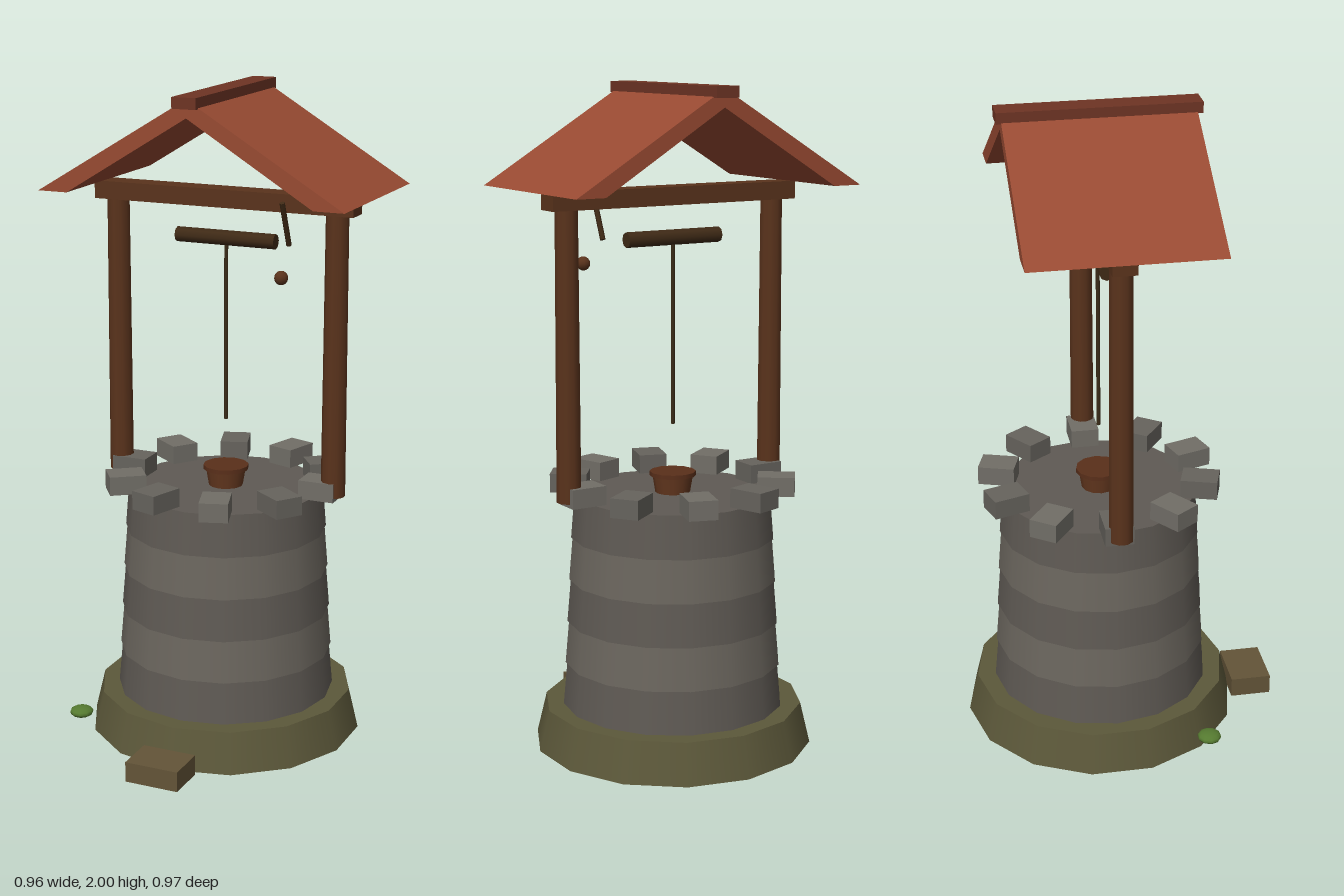
import * as THREE from 'three';

const CZ = -0.06; // axis of the well

export function createModel() {
  const model = new THREE.Group();
  const mats = {};
  const mat = (color) => (mats[color] ??= new THREE.MeshStandardMaterial({ color }));

  function add(name, geometry, color, x, y, z) {
    const mesh = new THREE.Mesh(geometry, mat(color));
    mesh.name = name;
    mesh.position.set(x, y, z);
    model.add(mesh);
    return mesh;
  }
  const cyl = (top, bottom, h, sides) => new THREE.CylinderGeometry(top, bottom, h, sides);
  const box = (w, h, d) => new THREE.BoxGeometry(w, h, d);

  const WOOD = 0x5a331c, DARK_WOOD = 0x3f2a16;

  // Mossy footing with a front step and a tuft of grass
  add('footing', cyl(0.395, 0.425, 0.125, 14), 0x5c583a, 0, 0.0625, CZ);
  add('step', box(0.17, 0.063, 0.127), 0x635438, 0, 0.0315, 0.4235);
  add('grassTuft', new THREE.SphereGeometry(0.037, 10, 8), 0x557a30, -0.37, 0.064, 0.222)
    .scale.y = 0.45;

  // Stone wall: stacked courses, each with a slight overhang
  const courseH = 0.131;
  for (let i = 0; i < 5; i++) {
    add('stoneCourse', cyl(0.326 - 0.0065 * i, 0.338 - 0.0068 * i, courseH, 16),
      i % 2 ? 0x6b665e : 0x5f5a54, 0, 0.125 + courseH * (i + 0.5), CZ);
  }

  // Rim stones radiating around the top
  for (let i = 0; i < 10; i++) {
    const a = THREE.MathUtils.degToRad(18 + 36 * i);
    const r = 0.313;
    add('rimStone', box(0.087, 0.058, 0.112), i % 2 ? 0x66635d : 0x716e67,
      r * Math.sin(a), 0.809, CZ + r * Math.cos(a)).rotation.y = a;
  }

  // Bucket with a wider lip
  add('bucket', cyl(0.062, 0.052, 0.06, 12), 0x65381f, 0, 0.805, CZ);
  add('bucketLip', cyl(0.07, 0.07, 0.013, 12), 0x5a2f1a, 0, 0.838, CZ);

  // Posts and cross beam
  for (const side of [-1, 1]) {
    add('post', cyl(0.034, 0.037, 0.86, 10), WOOD, side * 0.355, 1.222, -0.054);
  }
  add('crossBeam', box(0.834, 0.054, 0.072), WOOD, 0, 1.676, -0.054);

  // Windlass and rope
  add('windlass', cyl(0.023, 0.023, 0.32, 8), DARK_WOOD, 0, 1.552, CZ).rotation.z = Math.PI / 2;
  add('rope', cyl(0.006, 0.006, 0.55, 6), 0x3b2c18, 0, 1.265, CZ);

  // Crank arm and knob
  add('crankArm', cyl(0.008, 0.008, 0.145, 6), DARK_WOOD, 0.217, 1.62, 0.006)
    .rotation.x = 0.4;
  add('crankKnob', new THREE.SphereGeometry(0.021, 10, 8), WOOD, 0.231, 1.475, 0.071);

  // Gabled roof: an upturned V with level eaves
  const gable = new THREE.Shape([
    [-0.478, 1.705], [-0.385, 1.705], [0, 1.94], [0.385, 1.705], [0.478, 1.705], [0, 1.993],
  ].map(([x, y]) => new THREE.Vector2(x, y)));
  add('roof', new THREE.ExtrudeGeometry(gable, { depth: 0.557, bevelEnabled: false }),
    0x984a32, 0, 0, -0.335);
  add('ridgeCap', box(0.075, 0.033, 0.588), 0x6e3424, 0, 1.9835, -0.056);

  return model;
}
